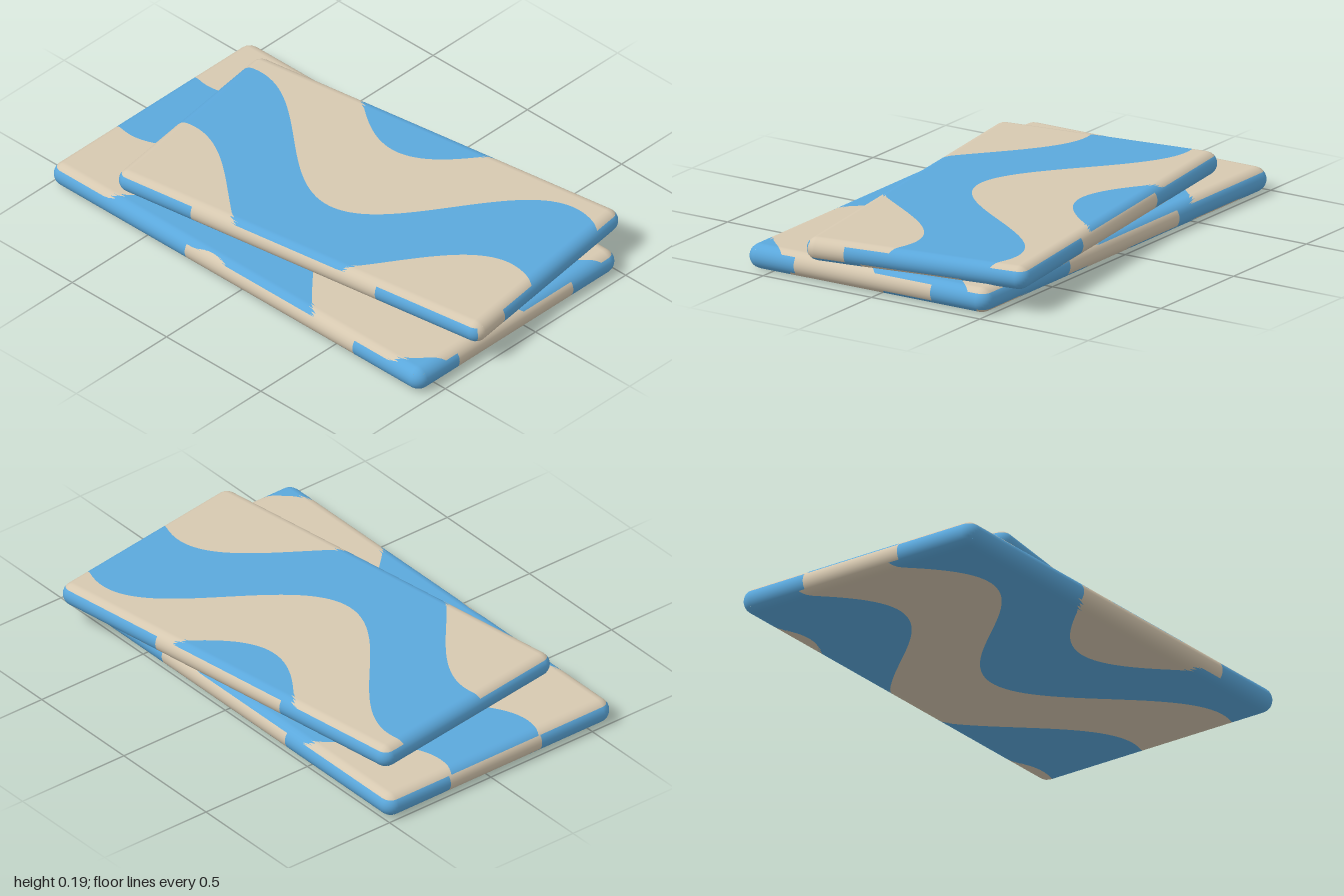
import * as THREE from 'three';

const blue = new THREE.MeshStandardMaterial({ color: 0x5ba8dc });
blue.name = 'sky blue';
const beige = new THREE.MeshStandardMaterial({ color: 0xd6c8b0 });
beige.name = 'sand beige';

const BAND = 0.43, PERIOD = 1.5, AMP = 0.27; // wavy stripe pattern
const RIM = THREE.MathUtils.degToRad(40);    // the rim covers this angle above and below the middle

// Collects quads with their normals, one list per colour
class Surface {
  constructor() { this.lists = [{ p: [], n: [] }, { p: [], n: [] }]; }

  tri(list, a, b, c) {
    const cross = b.p.clone().sub(a.p).cross(c.p.clone().sub(a.p));
    if (cross.length() < 1e-8) return;
    const order = cross.dot(a.n.clone().add(b.n).add(c.n)) < 0 ? [a, c, b] : [a, b, c];
    for (const v of order) {
      list.p.push(v.p.x, v.p.y, v.p.z);
      list.n.push(v.n.x, v.n.y, v.n.z);
    }
  }

  quad(colour, a, b, c, d) {
    this.tri(this.lists[colour], a, b, c);
    this.tri(this.lists[colour], a, c, d);
  }

  meshes(name) {
    return this.lists.map((l, i) => {
      const g = new THREE.BufferGeometry();
      g.setAttribute('position', new THREE.Float32BufferAttribute(l.p, 3));
      g.setAttribute('normal', new THREE.Float32BufferAttribute(l.n, 3));
      const m = new THREE.Mesh(g, i ? beige : blue);
      m.name = name + (i ? 'BeigeBands' : 'BlueBands');
      return m;
    });
  }
}

// Grid lines over one direction: dense on the rounded edges, even in between
function gridLines(inner, reach, middle) {
  const out = [];
  for (let i = 4; i > 0; i--) out.push(-inner - reach * Math.sin(i * Math.PI / 8));
  for (let i = 0; i <= middle; i++) out.push(-inner + 2 * inner * i / middle);
  for (let i = 1; i <= 4; i++) out.push(inner + reach * Math.sin(i * Math.PI / 8));
  return out;
}

// Upper or lower face, cut exactly along the waves
function addFace(surf, { hx, hz, r }, side, wave) {
  const ix = hx - r, iz = hz - r, reach = r * Math.cos(RIM);
  const point = (u, v) => {
    const cx = THREE.MathUtils.clamp(u, -ix, ix), cz = THREE.MathUtils.clamp(v, -iz, iz);
    let dx = u - cx, dz = v - cz;
    const d = Math.hypot(dx, dz);
    if (d > reach) { dx *= reach / d; dz *= reach / d; }
    const y = side * Math.sqrt(r * r - dx * dx - dz * dz);
    return {
      p: new THREE.Vector3(cx + dx, y, cz + dz),
      n: new THREE.Vector3(dx, y, dz).normalize(),
    };
  };
  const cols = gridLines(ix, reach, 72), rows = gridLines(iz, reach, 1);
  const edge = (u, k) => wave.peak + k * BAND
    - AMP * (1 - Math.cos(2 * Math.PI * (u - wave.shift) / PERIOD));
  for (let i = 0; i < cols.length - 1; i++) {
    for (let j = 0; j < rows.length - 1; j++) {
      for (let k = -4; k < 5; k++) {
        const cut = (u, n) => THREE.MathUtils.clamp(edge(u, n), rows[j], rows[j + 1]);
        const u0 = cols[i], u1 = cols[i + 1];
        const a = cut(u0, k), b = cut(u1, k), c = cut(u1, k + 1), d = cut(u0, k + 1);
        if (c - b + d - a < 1e-6) continue;
        surf.quad(Math.abs(k) % 2, point(u0, a), point(u1, b), point(u1, c), point(u0, d));
      }
    }
  }
}

// Rounded rim, one side at a time, each with one beige stretch
function addRim(surf, { hx, hz, r }, stretches) {
  stretches.forEach(([from, to], s) => {
    const angle = s * Math.PI / 2;
    const half = (s % 2 ? hx : hz) - r, out = (s % 2 ? hz : hx) - r;
    const stations = [];
    for (let i = 0; i <= 4; i++) stations.push([-half, (i - 4) * Math.PI / 16]);
    for (const t of [from, to]) stations.push([THREE.MathUtils.clamp(t, -half, half), 0]);
    for (let i = 0; i <= 4; i++) stations.push([half, i * Math.PI / 16]);
    const point = ([t, turn], lat) => {
      const a = angle + turn;
      const n = new THREE.Vector3(Math.cos(a) * Math.cos(lat), Math.sin(lat), Math.sin(a) * Math.cos(lat));
      const p = new THREE.Vector3(
        Math.cos(angle) * out - Math.sin(angle) * t, 0,
        Math.sin(angle) * out + Math.cos(angle) * t,
      ).addScaledVector(n, r);
      return { p, n };
    };
    for (let i = 0; i < stations.length - 1; i++) {
      const A = stations[i], B = stations[i + 1], mid = (A[0] + B[0]) / 2;
      const colour = mid > from && mid < to ? 1 : 0;
      for (let j = 0; j < 6; j++) {
        const l0 = -RIM + RIM * j / 3, l1 = -RIM + RIM * (j + 1) / 3;
        surf.quad(colour, point(A, l0), point(B, l0), point(B, l1), point(A, l1));
      }
    }
  });
}

function makeSlab(name, size, top, bottom, stretches) {
  const surf = new Surface();
  addFace(surf, size, 1, top);
  addFace(surf, size, -1, bottom);
  addRim(surf, size, stretches);
  const group = new THREE.Group();
  group.name = name;
  group.add(...surf.meshes(name));
  return group;
}

export function createModel() {
  const model = new THREE.Group();
  model.name = 'stackedSlabs';

  // Rim stretches run in the order right (+x), front, left, back
  const lower = makeSlab('lowerSlab', { hx: 0.9825, hz: 0.557, r: 0.05 },
    { shift: 0.617, peak: -0.22 }, { shift: -0.633, peak: 0.38 },
    [[-0.3, 0.33], [-0.63, 0.26], [-0.2, 0.25], [-0.35, 0.4]]);
  lower.position.set(-0.0175, 0.05, 0.053);

  const upper = makeSlab('upperSlab', { hx: 0.861, hz: 0.474, r: 0.0475 },
    { shift: -0.05, peak: 0.17 }, { shift: 0.05, peak: -0.09 },
    [[0.3, 0.48], [-0.37, 0.5], [0, 0], [-0.3, 0.35]]);
  upper.position.set(0.083, 0.1375, -0.033);
  upper.rotation.y = THREE.MathUtils.degToRad(8);

  model.add(lower, upper);
  return model;
}
